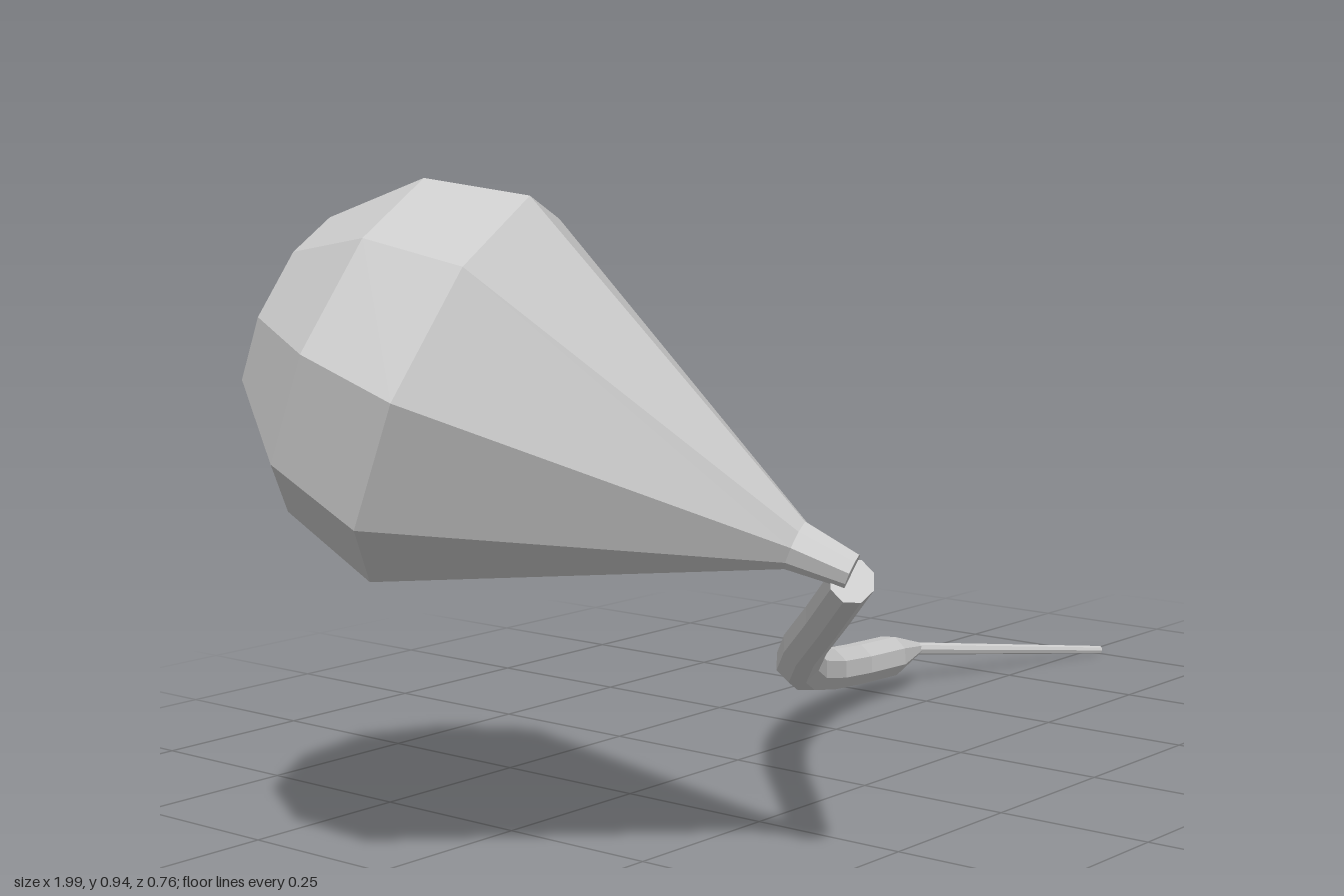
import * as THREE from 'three';

const V = (x, y, z) => new THREE.Vector3(x, y, z);

// Faceted skin over rings given as [centre, radius]; ref fixes where the first corner points.
function loft(name, rings, sides, ref) {
  const pos = [], index = [];
  rings.forEach(([c, r], i) => {
    const next = rings[Math.min(i + 1, rings.length - 1)][0];
    const prev = rings[Math.max(i - 1, 0)][0];
    let t = next.clone().sub(prev);
    if (t.lengthSq() < 1e-8) t = i ? c.clone().sub(rings[i - 2][0]) : rings[2][0].clone().sub(c);
    t.normalize();
    const u = ref.clone().addScaledVector(t, -ref.dot(t)).normalize();
    const w = t.clone().cross(u);
    for (let k = 0; k < sides; k++) {
      const a = (k / sides) * Math.PI * 2;
      const p = c.clone().addScaledVector(u, r * Math.cos(a)).addScaledVector(w, r * Math.sin(a));
      pos.push(p.x, p.y, p.z);
      if (i === rings.length - 1) continue;
      const a0 = i * sides + k, b0 = i * sides + (k + 1) % sides;
      if (r > 0) index.push(a0, b0, b0 + sides);
      if (rings[i + 1][1] > 0) index.push(a0, b0 + sides, a0 + sides);
      // a closing ring of zero radius needs only the first triangle, an opening one only the second
    }
  });
  let geo = new THREE.BufferGeometry();
  geo.setAttribute('position', new THREE.Float32BufferAttribute(pos, 3));
  geo.setIndex(index);
  geo = geo.toNonIndexed();
  geo.computeVertexNormals();
  const mesh = new THREE.Mesh(geo, new THREE.MeshStandardMaterial({ color: 0xcccccc, flatShading: true }));
  mesh.name = name;
  return mesh;
}

export function createModel() {
  const group = new THREE.Group();
  group.name = 'bulbOnCurvedStem';

  // Nine-sided bulb: narrow neck, straight cone, domed end
  const base = V(-0.49, 0.445, 0.355);
  const centre = V(-0.723, 0.667, -0.104);
  const axis = centre.clone().sub(base).normalize();
  const along = (d) => base.clone().addScaledVector(axis, d);
  const length = base.distanceTo(centre), R = 0.275;
  const bulb = [[along(0), 0], [along(0), 0.024], [along(0.08), 0.034]];
  for (let i = 0; i <= 3; i++) {
    const a = (i / 3) * Math.PI / 2;
    bulb.push([along(length + R * Math.sin(a)), i === 3 ? 0 : R * Math.cos(a)]);
  }
  group.add(loft('bulb', bulb, 9, V(0.02, 0.254, 0.11)));

  // Curved stem lying in one slanted plane, pinched at its far end: [x, z, radius]
  const stem = [
    [-0.49, 0.355, 0], [-0.49, 0.355, 0.03], [-0.3, 0.165, 0.032], [-0.13, -0.01, 0.034],
    [0.02, -0.145, 0.035], [0.16, -0.24, 0.036], [0.29, -0.3, 0.036], [0.4, -0.328, 0.036],
    [0.52, -0.345, 0.036], [0.605, -0.347, 0.011], [0.605, -0.347, 0],
  ].map(([x, z, r]) => [V(x, 0.435 - 0.525 * (0.36 - z), z), r]);
  group.add(loft('stem', stem, 8, V(0, 0.885, -0.465)));

  // Thin needle at the end of the stem
  const from = V(0.59, 0.065, -0.35), to = V(1, 0.009, -0.22);
  group.add(loft('needle', [[from, 0], [from, 0.011], [to, 0.007], [to, 0]], 8, V(0, 1, 0)));

  return group;
}
